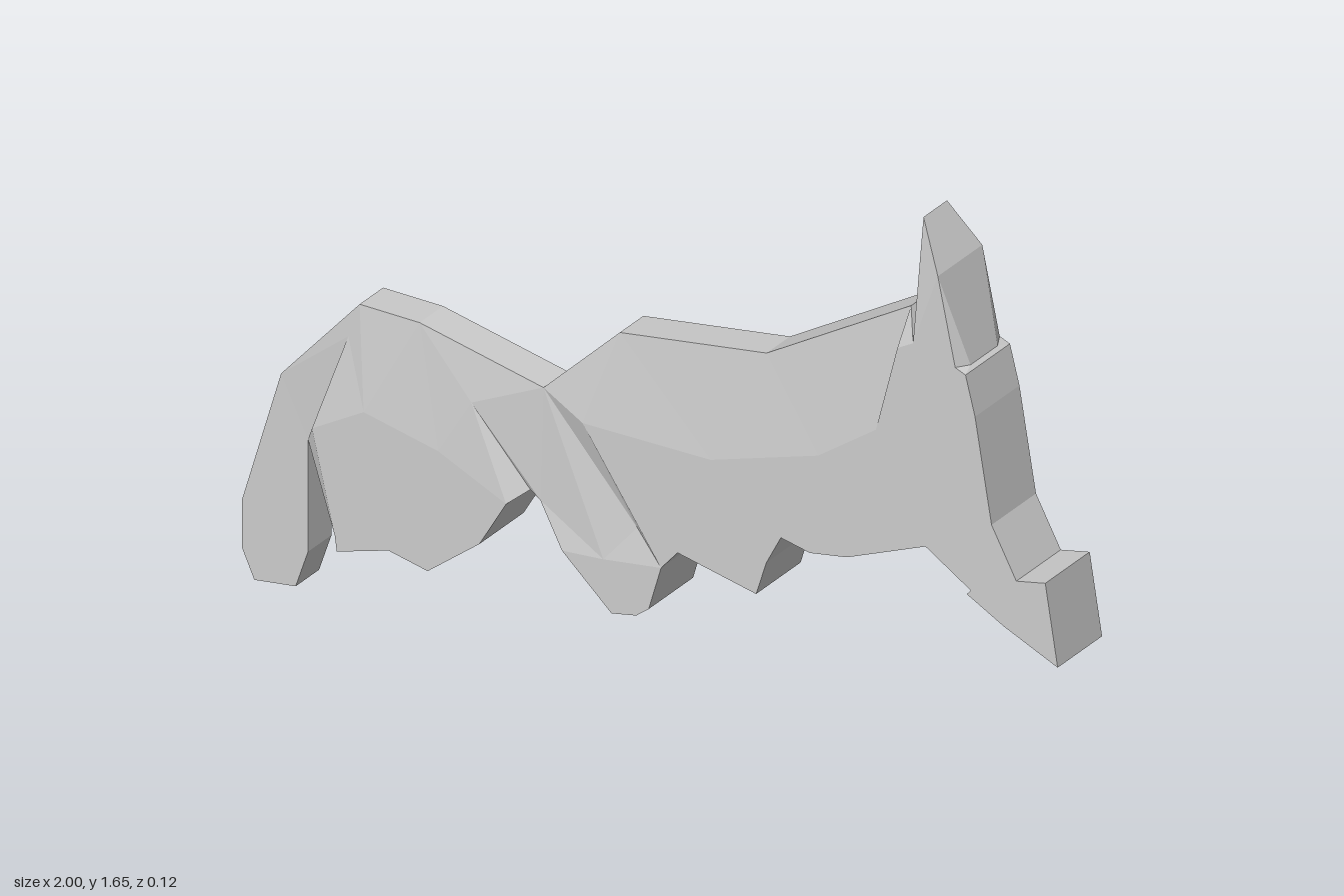
import * as THREE from 'three';

// Half thickness of the full body and of the thin spine, tail and ear tip
const WIDE = 0.0625, THIN = 0.033;
const pts = (depth, list) => list.map(([x, y]) => [x, y, depth]);
const key = (a, b) => a.join() + '|' + b.join();

// Each patch is a polygon; it is triangulated and mirrored front to back.
// Patch edges without a neighbour are closed by a rim wall.
function slab(name, patches, edges, material) {
  const out = [];
  const front = ([x, y, d]) => [x, y, d];
  const back = ([x, y, d]) => [x, y, -d];
  for (const poly of patches) {
    const flat = poly.map(([x, y]) => new THREE.Vector2(x, y));
    for (const tri of THREE.ShapeUtils.triangulateShape(flat, [])) {
      const [a, b, c] = tri.map(i => poly[i]);
      out.push(...front(a), ...front(b), ...front(c));
      out.push(...back(a), ...back(c), ...back(b));
    }
    poly.forEach((a, i) => {
      const b = poly[(i + 1) % poly.length];
      if (edges.has(key(b, a))) return;
      out.push(...front(a), ...back(a), ...back(b));
      out.push(...front(a), ...back(b), ...front(b));
    });
  }
  const geometry = new THREE.BufferGeometry();
  geometry.setAttribute('position', new THREE.Float32BufferAttribute(out, 3));
  geometry.computeVertexNormals();
  const mesh = new THREE.Mesh(geometry, material);
  mesh.name = name;
  return mesh;
}

export function createModel() {
  const material = new THREE.MeshStandardMaterial({ color: 0xcccccc, flatShading: true });

  // Thin ridge from rump to neck
  const s = pts(THIN, [[-0.715, 0.765], [-0.57, 0.795], [-0.27, 0.795], [-0.085, 1.015], [0.27, 1.145], [0.62, 1.43]]);
  // Line where the sloping back meets the flat flank
  const f = pts(WIDE, [[-0.15, 0.79], [0.16, 0.86], [0.42, 1.0], [0.56, 1.13]]);
  // Ear and neck fold
  const tip = [0.65, 1.65, THIN];
  const [earLow, earBack, earFront, dentIn, dentEnd] =
    pts(WIDE, [[0.612, 1.345], [0.65, 1.375], [0.71, 1.56], [0.752, 1.37], [0.777, 1.365]]);
  const dent = [0.768, 1.37, 0.038];
  // Forehead, snout, chest and front foot
  const face = pts(WIDE, [[0.80, 1.28], [0.84, 1.05], [0.90, 0.95], [0.97, 0.98], [1, 0.80], [0.87, 0.83], [0.78, 0.86], [0.79, 0.873], [0.68, 0.92]]);
  const chest = pts(WIDE, [[0.49, 0.80], [0.40, 0.765], [0.33, 0.765], [0.295, 0.69], [0.27, 0.605], [0.08, 0.605]]);
  // Middle leg outline, fold above it and its bulge
  const leg = pts(WIDE, [[0.04, 0.55], [0.01, 0.44], [-0.02, 0.41], [-0.08, 0.385], [-0.20, 0.47]]);
  const fold = [-0.03, 0.60, 0.048], bulge = [-0.10, 0.50, WIDE];
  // Recessed groin between the legs
  const c0 = [-0.27, 0.54, 0.042], c1 = [-0.30, 0.545, 0.035];
  // Haunch
  const hip = pts(WIDE, [[-0.335, 0.51], [-0.40, 0.385], [-0.525, 0.26], [-0.62, 0.26], [-0.745, 0.195], [-0.75, 0.23]]);
  const hipTop = [-0.43, 0.69, 0.05];
  const [p0, p1, rump] = pts(WIDE, [[-0.68, 0.55], [-0.50, 0.55], [-0.805, 0.45]]);
  const tailRoot = [-0.74, 0.68, 0.036], tailPit = [-0.84, 0.39, THIN];
  const tail = pts(THIN, [[-0.84, 0.13], [-0.87, 0.035], [-0.97, 0], [-1, 0.06], [-1, 0.17], [-0.905, 0.51]]);

  const parts = {
    headAndFlank: [
      [...f, earLow, earBack, earFront, dentIn, dentEnd, ...face, ...chest, leg[0]]
    ],
    ear: [
      [earBack, tip, earFront], [earFront, dent, dentIn], [dentIn, dent, dentEnd],
      [s[5], earBack, earLow, f[3]]
    ],
    back: [
      [s[2], s[3], f[0]], [s[3], f[1], f[0]], [s[3], s[4], f[1]],
      [s[4], f[2], f[1]], [s[4], s[5], f[3], f[2]]
    ],
    middleLeg: [
      [s[2], f[0], leg[0], fold], [s[2], fold, bulge], [fold, leg[0], leg[1], bulge],
      [bulge, leg[1], leg[2], leg[3], leg[4]], [s[2], bulge, leg[4], c0]
    ],
    groin: [
      [s[1], s[2], hipTop], [s[2], c0, c1, hipTop], [hipTop, c1, hip[0]]
    ],
    haunch: [
      [s[0], s[1], p1, p0], [s[1], hipTop, p1], [hipTop, hip[0], hip[1], p1],
      [p0, p1, ...hip.slice(1), rump], [s[0], p0, rump, tailRoot],
      [tailRoot, rump, tailPit], [rump, hip[5], tailPit]
    ],
    tail: [
      [s[0], tailRoot, tailPit, ...tail]
    ]
  };

  // Turn every patch counterclockwise and note its directed edges
  const edges = new Set();
  for (const patches of Object.values(parts)) {
    for (const poly of patches) {
      if (THREE.ShapeUtils.area(poly.map(([x, y]) => ({ x, y }))) < 0) poly.reverse();
      poly.forEach((a, i) => edges.add(key(a, poly[(i + 1) % poly.length])));
    }
  }

  const group = new THREE.Group();
  group.name = 'animalCutout';
  for (const [name, patches] of Object.entries(parts)) group.add(slab(name, patches, edges, material));
  return group;
}
